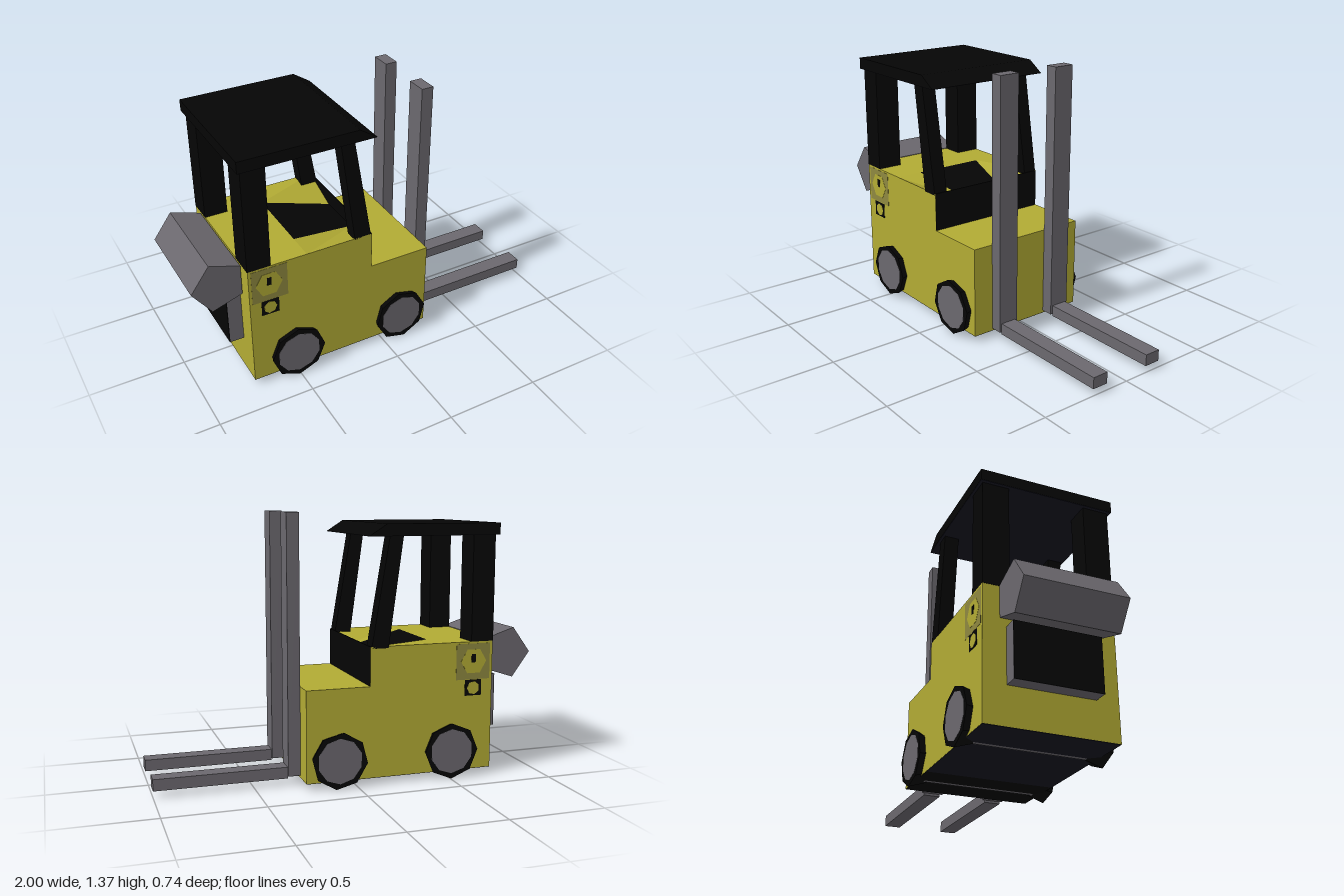
import * as THREE from 'three';

const material = (name, color) => {
  const m = new THREE.MeshStandardMaterial({ color });
  m.name = name;
  return m;
};

export function createModel() {
  const yellow = material('yellow paint', 0xb2ab34);
  const black = material('black', 0x050505);
  const navy = material('dark underside', 0x161622);
  const grey = material('steel grey', 0x6b686e);
  const olive = material('sign backing', 0x8e883f);

  const model = new THREE.Group();
  model.name = 'forklift';

  const add = (name, geometry, mat) => {
    const mesh = new THREE.Mesh(geometry, mat);
    mesh.name = name;
    model.add(mesh);
    return mesh;
  };

  // Box given by its limits on each axis
  const box = (name, mat, [x0, x1], [y0, y1], [z0, z1]) => {
    const g = new THREE.BoxGeometry(x1 - x0, y1 - y0, z1 - z0);
    return add(name, g.translate((x0 + x1) / 2, (y0 + y1) / 2, (z0 + z1) / 2), mat);
  };

  // Side profile swept from z0 to z1
  const sweep = (name, mat, points, z0, z1) => {
    const shape = new THREE.Shape(points.map(([x, y]) => new THREE.Vector2(x, y)));
    const g = new THREE.ExtrudeGeometry(shape, { depth: z1 - z0, bevelEnabled: false });
    return add(name, g.translate(0, 0, z0), mat);
  };

  // Flat polygon, counter-clockwise seen from outside
  const panel = (name, mat, points) => {
    const corners = [];
    for (let i = 1; i < points.length - 1; i++) corners.push(...points[0], ...points[i], ...points[i + 1]);
    const g = new THREE.BufferGeometry();
    g.setAttribute('position', new THREE.Float32BufferAttribute(corners, 3));
    g.computeVertexNormals();
    return add(name, g, mat);
  };
  const mirroredPanel = (name, mat, points) => {
    panel(name, mat, points);
    panel(name, mat, points.map(([x, y, z]) => [x, y, -z]).reverse());
  };

  // Body
  const W = 0.335;
  box('chassis', yellow, [-0.74, 0.263], [0.038, 0.51], [-W, W]);
  box('rearUnderside', navy, [-0.739, -0.05], [0.036, 0.039], [-W + 0.001, W - 0.001]);
  box('frontUnderside', black, [-0.05, 0.262], [0.036, 0.039], [-W + 0.001, W - 0.001]);
  box('rearBody', yellow, [-0.74, -0.43], [0.51, 0.71], [-W, W]);

  // Sunken cockpit between the rear body and the dashboard
  const back = -0.43, front = -0.07, top = 0.71, low = 0.63;
  mirroredPanel('cockpitSide', yellow, [[back, 0.51, W], [front, 0.51, W], [front, top, W], [back, top, W]]);
  mirroredPanel('cockpitSlope', yellow, [[back, top, W], [front, top, W], [front, low, 0.12], [back, top, 0.19]]);
  panel('cockpitFloor', black, [[back, top, 0.19], [front, low, 0.12], [front, low, -0.12], [back, top, -0.19]]);
  box('dashboard', black, [front - 0.004, front + 0.001], [0.51, top], [-W + 0.001, W - 0.001]);

  // Roof with a sloping front edge
  sweep('roof', black, [[-0.76, 1.256], [-0.056, 1.256], [-0.148, 1.315], [-0.76, 1.315]], -0.35, 0.35);
  box('roofLining', navy, [-0.759, -0.058], [1.254, 1.257], [-0.349, 0.349]);

  // Gas tank and rear counterweight
  const tank = [];
  for (let i = 0; i < 5; i++) {
    const a = Math.PI + (i * Math.PI * 2) / 5;
    tank.push([-0.86 + 0.14 * Math.cos(a), 0.628 + 0.14 * Math.sin(a)]);
  }
  sweep('gasTank', grey, tank, -0.254, 0.268);
  box('counterweight', grey, [-0.814, -0.74], [0.23, 0.51], [-0.22, 0.22]);
  box('counterweightPanel', black, [-0.816, -0.813], [0.23, 0.51], [-0.22, 0.22]);

  for (const s of [1, -1]) {
    const span = (a, b) => (s > 0 ? [a, b] : [-b, -a]);

    // Cabin posts
    box('rearPost', black, [-0.742, -0.62], [0.71, 1.256], span(0.2, W));
    sweep('frontPost', black, [[-0.165, 0.7], [-0.075, 0.7], [-0.168, 1.256], [-0.24, 1.256]], ...span(0.26, W));

    // Mast and forks
    box('mast', grey, [0.263, 0.327], [0.05, 1.372], span(0.115, 0.225));
    box('fork', grey, [0.327, 1], [0.038, 0.097], span(0.128, 0.214));

    // Warning signs
    const plate = (name, mat, x, y, z) => box(name, mat, x, y, span(z - 0.002, z));
    plate('signBacking', olive, [-0.725, -0.537], [0.513, 0.7], W + 0.001);
    plate('signMark', black, [-0.645, -0.622], [0.602, 0.645], W + 0.003);
    plate('smallSign', black, [-0.68, -0.587], [0.428, 0.511], W + 0.001);
    const badge = (name, r, sides, y) => add(name,
      new THREE.CylinderGeometry(r, r, 0.002, sides, 1, false, Math.PI / 2).rotateX(Math.PI / 2)
        .translate(-0.634, y, s * (W + 0.001)), yellow);
    badge('signDiamond', 0.071, 6, 0.608);
    badge('smallSignDot', 0.035, 7, 0.468);
  }

  // Tapered eight-sided tyres on full-width hubs
  for (const [name, x, turn] of [['rear', -0.505, 0], ['front', 0.098, 0.14]]) {
    for (const s of [1, -1]) {
      const g = new THREE.CylinderGeometry(0.146, 0.11, 0.11, 8).toNonIndexed();
      g.computeVertexNormals();
      g.rotateX(s * Math.PI / 2).rotateZ(turn).translate(x, 0.149, s * 0.314);
      add(name + 'Tyre', g, black);
    }
    const hub = new THREE.CylinderGeometry(0.117, 0.117, 0.74, 10).toNonIndexed();
    hub.computeVertexNormals();
    add(name + 'Hub', hub.rotateX(Math.PI / 2).translate(x, 0.149, 0), grey);
  }

  return model;
}
